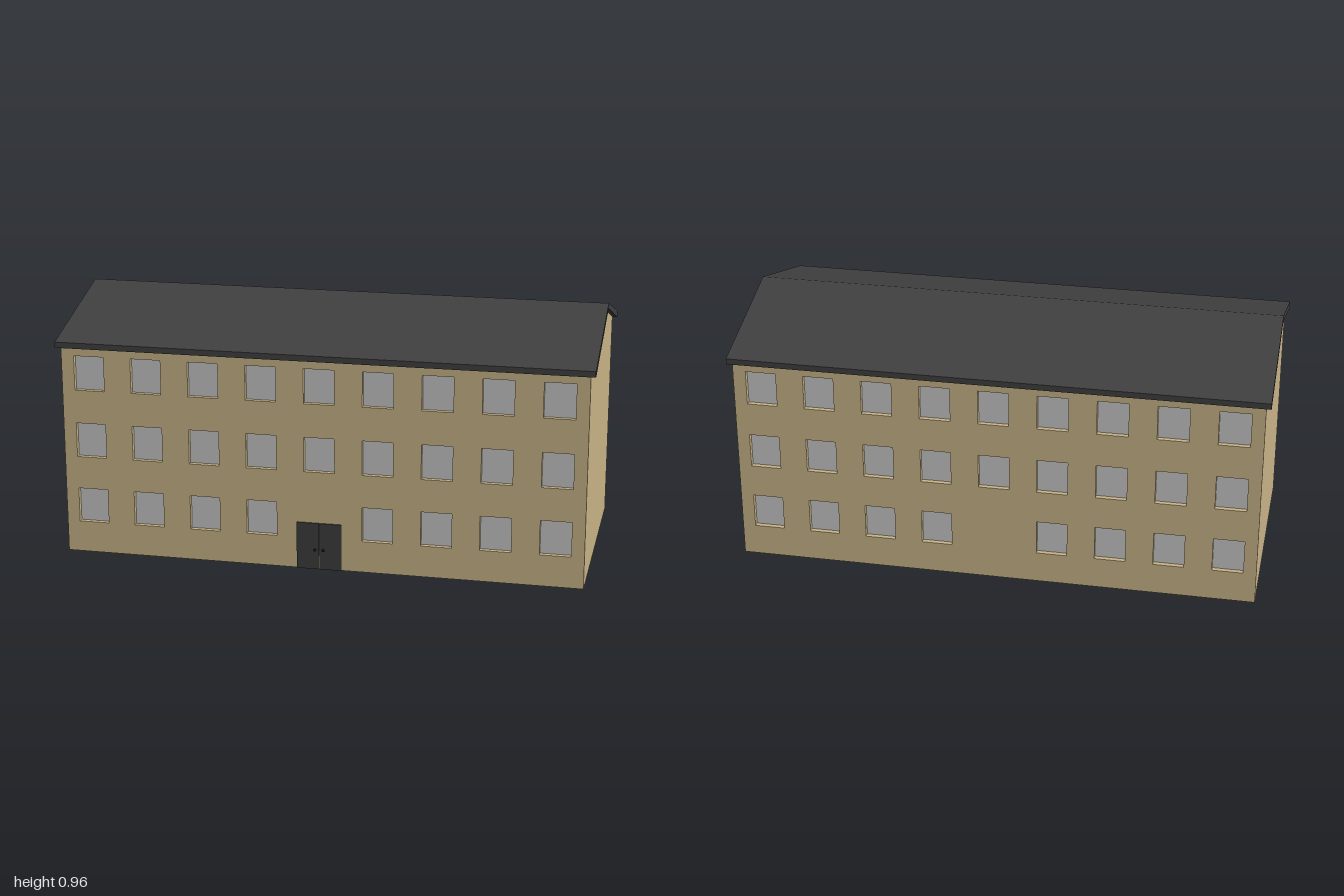
import * as THREE from 'three';

const material = (name, color, side = THREE.FrontSide) => {
  const m = new THREE.MeshStandardMaterial({ color, side });
  m.name = name;
  return m;
};

// Main dimensions
const HALF_X = 0.982, HALF_Z = 0.457, EAVE = 0.8, RIDGE = 0.94, THICK = 0.02;
const WIN_W = 0.115, WIN_H = 0.132, WIN_STEP = 0.219;
const ROWS = [0.186, 0.443, 0.703];

// Nine windows per storey; the middle one on the ground floor is left out
function windowCentres() {
  const list = [];
  ROWS.forEach((y, row) => {
    for (let i = -4; i <= 4; i++) {
      if (row === 0 && i === 0) continue;
      list.push([i * WIN_STEP, y]);
    }
  });
  return list;
}

const polygon = (points) => new THREE.Shape(points.map(([x, y]) => new THREE.Vector2(x, y)));

const rect = (x0, y0, x1, y1) => polygon([[x0, y0], [x1, y0], [x1, y1], [x0, y1]]);

// Extrudes a (z, y) profile along x, centred on x = 0
function extrudeAlongX(shape, length) {
  return new THREE.ExtrudeGeometry(shape, { depth: length, bevelEnabled: false })
    .translate(0, 0, -length / 2)
    .rotateY(Math.PI / 2);
}

export function createModel() {
  const wallMat = material('sand render', 0xcab588, THREE.DoubleSide);
  const glassMat = material('pale grey glass', 0xc8c8c8, THREE.DoubleSide);
  const roofMat = material('charcoal roof', 0x404040);
  const doorMat = material('dark grey door', 0x3e3e3e);
  const handleMat = material('black handle', 0x1c1c1c);

  const model = new THREE.Group();
  model.name = 'building';
  const add = (parent, name, geometry, mat, x = 0, y = 0, z = 0) => {
    const mesh = new THREE.Mesh(geometry, mat);
    mesh.name = name;
    mesh.position.set(x, y, z);
    parent.add(mesh);
    return mesh;
  };

  // Long walls with window openings and recessed panes
  const w = HALF_X - THICK;
  const wallShape = rect(-w, 0, w, EAVE);
  for (const [x, y] of windowCentres()) {
    wallShape.holes.push(rect(x - WIN_W / 2, y - WIN_H / 2, x + WIN_W / 2, y + WIN_H / 2));
  }
  const wallGeo = new THREE.ExtrudeGeometry(wallShape, { depth: THICK, bevelEnabled: false });
  const paneGeo = new THREE.PlaneGeometry(WIN_W, WIN_H);
  for (const [name, turn] of [['front', 0], ['back', Math.PI]]) {
    const side = new THREE.Group();
    side.name = name + 'Facade';
    side.rotation.y = turn;
    add(side, name + 'Wall', wallGeo, wallMat, 0, 0, HALF_Z - THICK);
    for (const [x, y] of windowCentres()) {
      add(side, name + 'Window', paneGeo, glassMat, x, y, HALF_Z - THICK + 0.001);
    }
    model.add(side);
  }

  // Gable end walls
  const gableGeo = extrudeAlongX(polygon([
    [-HALF_Z, 0], [HALF_Z, 0], [HALF_Z, EAVE], [0, RIDGE], [-HALF_Z, EAVE],
  ]), THICK);
  for (const s of [1, -1]) {
    add(model, s > 0 ? 'leftGable' : 'rightGable', gableGeo, wallMat, s * (HALF_X - THICK / 2));
  }

  // Floor with an open stairwell notch running in from the back
  const floorGeo = new THREE.ShapeGeometry(polygon([
    [-HALF_X, -HALF_Z], [-0.11, -HALF_Z], [-0.11, 0], [0.11, 0], [0.11, -HALF_Z],
    [HALF_X, -HALF_Z], [HALF_X, HALF_Z], [-HALF_X, HALF_Z],
  ])).rotateX(Math.PI / 2);
  add(model, 'floor', floorGeo, wallMat);

  // Pitched roof slab with upright eave edges
  add(model, 'roof', extrudeAlongX(polygon([
    [0.472, EAVE], [0.472, 0.822], [0, 0.96], [-0.472, 0.822],
    [-0.472, EAVE], [-HALF_Z, EAVE], [0, RIDGE], [HALF_Z, EAVE],
  ]), 2), roofMat);

  // Double entrance door with a round handle on each leaf
  const door = new THREE.Group();
  door.name = 'entranceDoor';
  const leafGeo = new THREE.BoxGeometry(0.084, 0.18, 0.008);
  const handleGeo = new THREE.CylinderGeometry(0.005, 0.005, 0.007, 12).rotateX(Math.PI / 2);
  for (const s of [-1, 1]) {
    add(door, 'doorLeaf', leafGeo, doorMat, s * 0.043, 0.09, HALF_Z + 0.001);
    add(door, 'doorHandle', handleGeo, handleMat, s * 0.016, 0.076, HALF_Z + 0.007);
  }
  model.add(door);

  return model;
}
